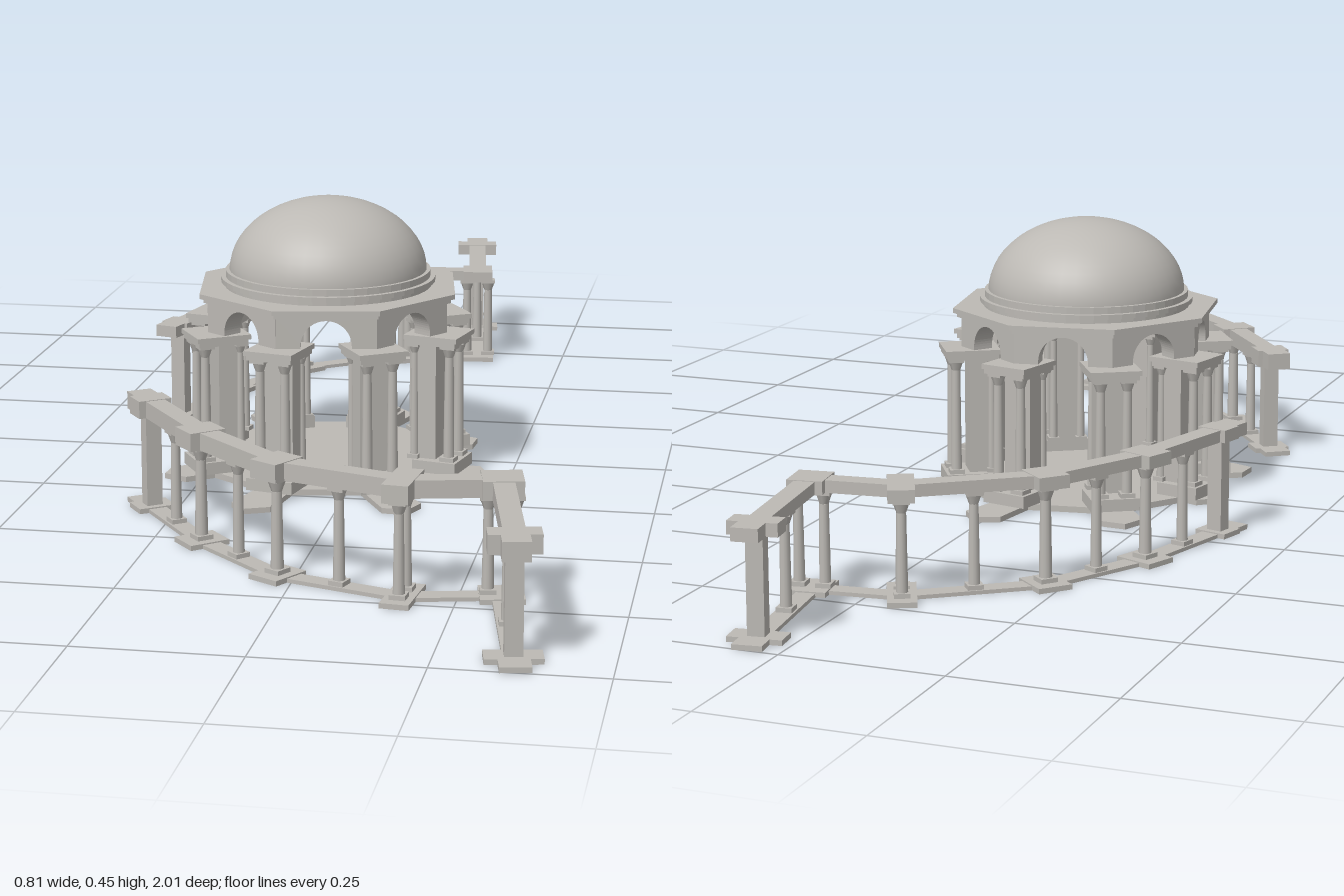
import * as THREE from 'three';

const stone = new THREE.MeshStandardMaterial({ color: 0xbcb9b4, side: THREE.DoubleSide });
stone.name = 'stone';

function add(parent, name, geometry, x = 0, y = 0, z = 0, ry = 0) {
  const m = new THREE.Mesh(geometry, stone);
  m.name = name;
  m.position.set(x, y, z);
  m.rotation.y = ry;
  parent.add(m);
  return m;
}

// box given by its bottom and top heights
function block(parent, name, w, y0, y1, d, x, z, ry = 0) {
  return add(parent, name, new THREE.BoxGeometry(w, y1 - y0, d), x, (y0 + y1) / 2, z, ry);
}

// column: square plinth, tapered shaft, flared capital and abacus
function column(parent, x, z, y0, y1, r, ry = 0) {
  const g = new THREE.Group();
  g.name = 'column';
  g.position.set(x, 0, z);
  g.rotation.y = ry;
  const h = r * 1.7;
  block(g, 'plinth', r * 2.7, y0, y0 + 0.007, r * 2.7, 0, 0);
  add(g, 'shaft', new THREE.CylinderGeometry(r * 0.8, r, y1 - y0 - h - 0.012, 12), 0, (y0 + y1 - h + 0.002) / 2, 0);
  add(g, 'capital', new THREE.CylinderGeometry(r * 1.4, r * 0.8, h, 8), 0, y1 - 0.005 - h / 2, 0);
  block(g, 'abacus', r * 2.8, y1 - 0.006, y1, r * 2.8, 0, 0);
  parent.add(g);
}

// flat octagon with its corners on the rotunda's piers
function octagon(R, Shape = THREE.Shape) {
  const s = new Shape();
  for (let i = 0; i < 8; i++) {
    const a = i * Math.PI / 4 - Math.PI / 2;
    i ? s.lineTo(R * Math.cos(a), R * Math.sin(a)) : s.moveTo(R * Math.cos(a), R * Math.sin(a));
  }
  s.closePath();
  return s;
}

function slab(parent, name, shape, y0, y1) {
  const geo = new THREE.ExtrudeGeometry(shape, { depth: y1 - y0, bevelEnabled: false, curveSegments: 24 });
  return add(parent, name, geo.rotateX(-Math.PI / 2), 0, y0, 0);
}

function rotunda() {
  const g = new THREE.Group();
  g.name = 'rotunda';
  g.position.set(-0.064, 0, 0.036);
  g.rotation.y = THREE.MathUtils.degToRad(-13);

  slab(g, 'floor', octagon(0.225), 0, 0.01);

  // arched drum panel
  const hw = 0.081, ap = 0.196, aw = 0.041;
  const panel = new THREE.Shape();
  panel.moveTo(-hw, 0.232);
  panel.lineTo(-aw, 0.232);
  panel.lineTo(-aw, 0.246);
  panel.absarc(0, 0.246, aw, Math.PI, 0, true);
  panel.lineTo(aw, 0.232);
  panel.lineTo(hw, 0.232);
  panel.lineTo(hw, 0.294);
  panel.lineTo(-hw, 0.294);
  panel.closePath();
  const panelGeo = new THREE.ExtrudeGeometry(panel, { depth: 0.035, bevelEnabled: false, curveSegments: 16 });
  panelGeo.translate(0, 0, ap - 0.035);

  const reach = [0.335, 0.34, 0.285, 0.275, 0.325, 0.315, 0.265, 0.29];
  reach.forEach((r, i) => {
    const a = i * Math.PI / 4;
    add(g, 'drumArch', panelGeo, 0, 0, 0, a + Math.PI / 8);

    // corner pier with paired columns
    const c = new THREE.Group();
    c.name = 'cornerPier';
    c.rotation.y = a;
    g.add(c);
    block(c, 'pier', 0.05, 0.01, 0.235, 0.035, 0, 0.185);
    block(c, 'pierBase', 0.08, 0.01, 0.03, 0.075, 0, 0.205);
    for (const s of [-1, 1]) {
      column(c, s * 0.022, 0.225, 0.03, 0.226, 0.009);
      column(c, s * 0.024, 0.165, 0.03, 0.226, 0.007);
    }
    block(c, 'entablature', 0.078, 0.225, 0.233, 0.085, 0, 0.198);
    block(c, 'entablatureCap', 0.084, 0.233, 0.241, 0.092, 0, 0.198);

    // pointed step on the ground
    const step = new THREE.Shape();
    step.moveTo(-0.026, -0.18);
    step.lineTo(0.026, -0.18);
    step.lineTo(0.034, 0.025 - r);
    step.lineTo(0, -r);
    step.lineTo(-0.034, 0.025 - r);
    step.closePath();
    slab(c, 'groundStep', step, 0, 0.009);
  });

  // cornice rings, open beneath the dome
  [[0.219, 0.291, 0.298], [0.226, 0.298, 0.306]].forEach(([R, y0, y1]) => {
    const s = octagon(R);
    const hole = new THREE.Path();
    hole.absarc(0, 0, 0.155, 0, Math.PI * 2, true);
    s.holes.push(hole);
    slab(g, 'cornice', s, y0, y1);
  });

  // stepped dome base
  [[0.172, 0.304, 0.313], [0.178, 0.313, 0.321], [0.17, 0.321, 0.332]].forEach(([R, y0, y1]) => {
    const s = new THREE.Shape().absarc(0, 0, R, 0, Math.PI * 2, false);
    const hole = new THREE.Path();
    hole.absarc(0, 0, 0.155, 0, Math.PI * 2, true);
    s.holes.push(hole);
    slab(g, 'domeRing', s, y0, y1);
  });

  const dome = new THREE.SphereGeometry(0.164, 40, 14, 0, Math.PI * 2, 0, Math.PI / 2);
  dome.scale(1, 0.122 / 0.164, 1);
  add(g, 'dome', dome, 0, 0.329, 0);
  return g;
}

// nodes: [x, z, length along the run, width across it]
function colonnade(name, nodes, top) {
  const g = new THREE.Group();
  g.name = name;
  const under = 0.155, n = nodes.length;
  nodes.forEach(([x, z, l, w], i) => {
    const [ax, az] = nodes[Math.max(i - 1, 0)], [bx, bz] = nodes[Math.min(i + 1, n - 1)];
    // corner blocks follow the final straight arm
    const a = i === n - 2 ? Math.atan2(bx - x, bz - z) : Math.atan2(bx - ax, bz - az);
    block(g, 'nodeBlock', w, under, top, l, x, z, a);
    block(g, 'nodeBase', w * 1.1, 0, 0.008, l * 1.1, x, z, a);
    if (i === 0 || i === n - 1) {
      // solid end pier
      const s = i ? 1 : -1, ex = x + s * Math.sin(a) * 0.03, ez = z + s * Math.cos(a) * 0.03;
      block(g, 'endBlock', 0.04, under, top, 0.04, ex, ez, a);
      block(g, 'endBase', 0.045, 0, 0.008, 0.042, ex, ez, a);
      block(g, 'endPier', 0.026, 0, under, 0.022, x, z, a);
    } else if (i >= n - 3) {
      for (const s of [-1, 1])
        column(g, x + s * Math.cos(a) * 0.02, z - s * Math.sin(a) * 0.02, 0.008, under, 0.009, a);
    } else column(g, x, z, 0.008, under, 0.01, a);
    if (i === n - 1) return;

    // beam, ground strip and middle column of each span
    const [x2, z2] = nodes[i + 1];
    const len = Math.hypot(x2 - x, z2 - z), b = Math.atan2(x2 - x, z2 - z);
    const mx = (x + x2) / 2, mz = (z + z2) / 2;
    block(g, 'beam', 0.032, under, top - 0.001, len, mx, mz, b);
    block(g, 'groundStrip', 0.03, 0, 0.006, len, mx, mz, b);
    if (i !== n - 3) column(g, mx, mz, 0.006, under, 0.009, b);
  });
  return g;
}

export function createModel() {
  const model = new THREE.Group();
  model.name = 'domedPavilion';
  model.add(rotunda());
  model.add(colonnade('rearColonnade', [
    [-0.375, -0.2, 0.04, 0.05], [-0.32, -0.39, 0.05, 0.06], [-0.225, -0.565, 0.05, 0.06],
    [-0.05, -0.695, 0.04, 0.095], [0.088, -0.71, 0.06, 0.055], [0.055, -0.95, 0.035, 0.075],
  ], 0.175));
  model.add(colonnade('frontColonnade', [
    [-0.29, 0.355, 0.04, 0.055], [-0.172, 0.518, 0.05, 0.06], [-0.025, 0.66, 0.05, 0.06],
    [0.172, 0.725, 0.04, 0.09], [0.312, 0.695, 0.06, 0.06], [0.36, 0.95, 0.035, 0.075],
  ], 0.183));
  return model;
}
